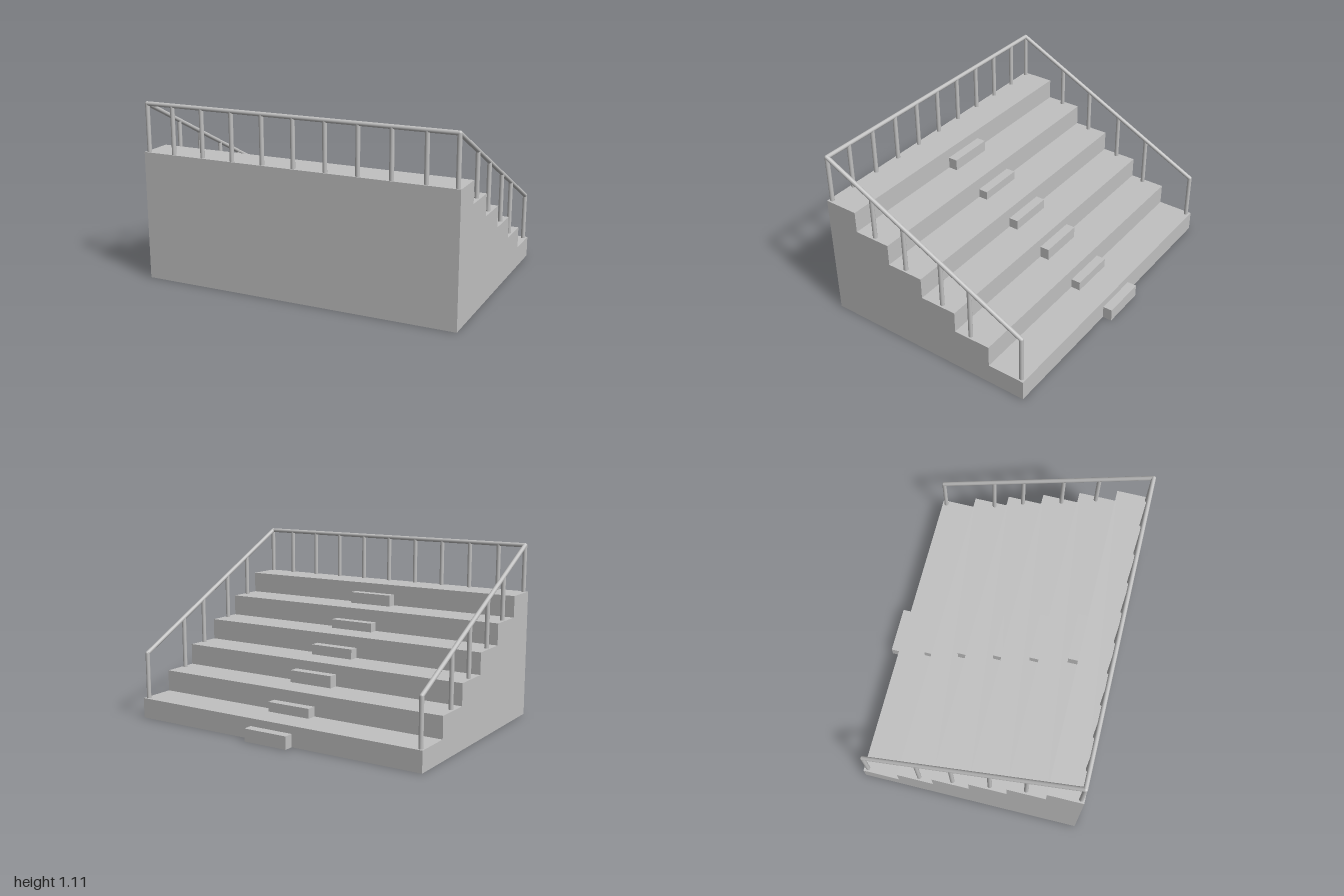
import * as THREE from 'three';

export function createModel() {
  const model = new THREE.Group();
  model.name = 'steppedPlatform';
  const grey = new THREE.MeshStandardMaterial({ color: 0xc0c0c0 });
  grey.name = 'light grey';

  const add = (geometry, name, parent = model) => {
    const mesh = new THREE.Mesh(geometry, grey);
    mesh.name = name;
    parent.add(mesh);
    return mesh;
  };

  // Stepped body: side profile in (z, y), extruded across the width
  const steps = 6, frontZ = 0.73, backZ = -0.668, tread = 0.236;
  const stepTop = (i) => 0.128 + i * 0.1344;
  const stepEdge = (i) => backZ + i * tread;
  const profile = new THREE.Shape();
  profile.moveTo(frontZ, 0);
  profile.lineTo(frontZ, 0.8);
  for (let i = steps - 1; i >= 0; i--) {
    profile.lineTo(stepEdge(i), stepTop(i));
    profile.lineTo(stepEdge(i), i > 0 ? stepTop(i - 1) : 0);
  }
  const body = new THREE.ExtrudeGeometry(profile, { depth: 2, bevelEnabled: false });
  body.rotateY(-Math.PI / 2).translate(1, 0, 0);
  add(body, 'steppedBody');

  // Small half-step block in the middle of each riser
  [0.08, 0.188, 0.338, 0.461, 0.588, 0.738].forEach((top, i) => {
    const base = i > 0 ? stepTop(i - 1) : 0;
    const block = add(new THREE.BoxGeometry(0.296, top - base, 0.06), 'halfStep');
    block.position.set(-0.003, (top + base) / 2, stepEdge(i) - 0.03);
  });

  // Railings: round bars between two points
  const radius = 0.0135;
  const bar = (a, b, name, parent) => {
    const from = new THREE.Vector3(...a), to = new THREE.Vector3(...b);
    const dir = to.clone().sub(from);
    const mesh = add(new THREE.CylinderGeometry(radius, radius, dir.length(), 16), name, parent);
    mesh.position.copy(from).add(to).multiplyScalar(0.5);
    mesh.quaternion.setFromUnitVectors(new THREE.Vector3(0, 1, 0), dir.normalize());
  };
  const joint = (x, y, z, parent) =>
    add(new THREE.SphereGeometry(radius, 16, 10), 'railJoint', parent).position.set(x, y, z);

  const railX = 0.977, railY = 1.094, railZ = 0.709, endZ = -0.643;
  const slopeY = (z) => railY - (railZ - z) * 0.5;

  // Level railing along the high front edge
  const frontRailing = new THREE.Group();
  frontRailing.name = 'frontRailing';
  model.add(frontRailing);
  bar([-railX, railY, railZ], [railX, railY, railZ], 'frontRail', frontRailing);
  for (let i = -5; i <= 5; i++) {
    const x = Math.abs(i) === 5 ? Math.sign(i) * railX : i * 0.2;
    bar([x, 0.79, railZ], [x, railY, railZ], 'frontPost', frontRailing);
  }

  // Sloping railings down both sides, each post standing on its own step
  for (const side of [-1, 1]) {
    const railing = new THREE.Group();
    railing.name = side > 0 ? 'leftRailing' : 'rightRailing';
    model.add(railing);
    const x = side * railX;
    bar([x, railY, railZ], [x, slopeY(endZ), endZ], 'sideRail', railing);
    const postZ = [endZ, -0.291, side > 0 ? -0.092 : -0.07, 0.168, 0.389];
    postZ.forEach((z, i) =>
      bar([x, stepTop(i) - 0.01, z], [x, slopeY(z), z], 'sidePost', railing));
    joint(x, railY, railZ, railing);
    joint(x, slopeY(endZ), endZ, railing);
  }
  return model;
}
